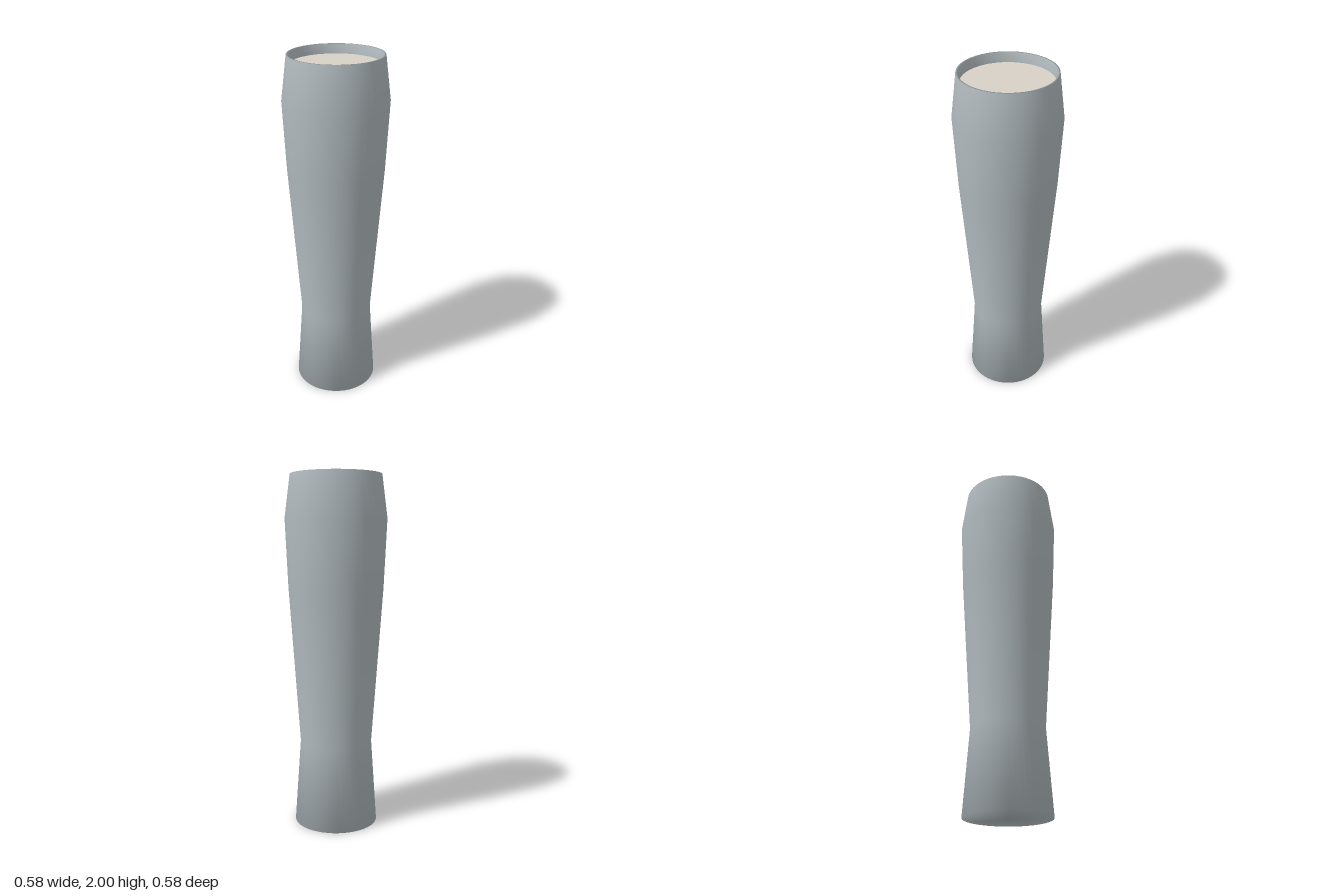
import * as THREE from 'three';

export function createModel() {
  const model = new THREE.Group();
  const glassGrey = new THREE.MeshStandardMaterial({ color: 0xb0b9bd });
  const creamFill = new THREE.MeshStandardMaterial({ color: 0xd8d1c6 });
  const sides = 48;

  // Waisted vessel: base, outer wall, rim and inner wall in one smooth profile
  const profile = [
    [0, 0], [0.24, 0], [0.207, 0.48], [0.27, 1.37], [0.288, 1.76],
    [0.257, 2], [0.247, 2], [0.24, 1.94],
  ].map(([r, y]) => new THREE.Vector2(r, y));
  const vessel = new THREE.Mesh(new THREE.LatheGeometry(profile, sides), glassGrey);
  vessel.name = 'vessel';
  model.add(vessel);

  // Flat surface of the contents, just below the rim
  const surface = new THREE.Mesh(new THREE.CircleGeometry(0.241, sides), creamFill);
  surface.name = 'contentsSurface';
  surface.rotation.x = -Math.PI / 2;
  surface.position.y = 1.948;
  model.add(surface);

  return model;
}
